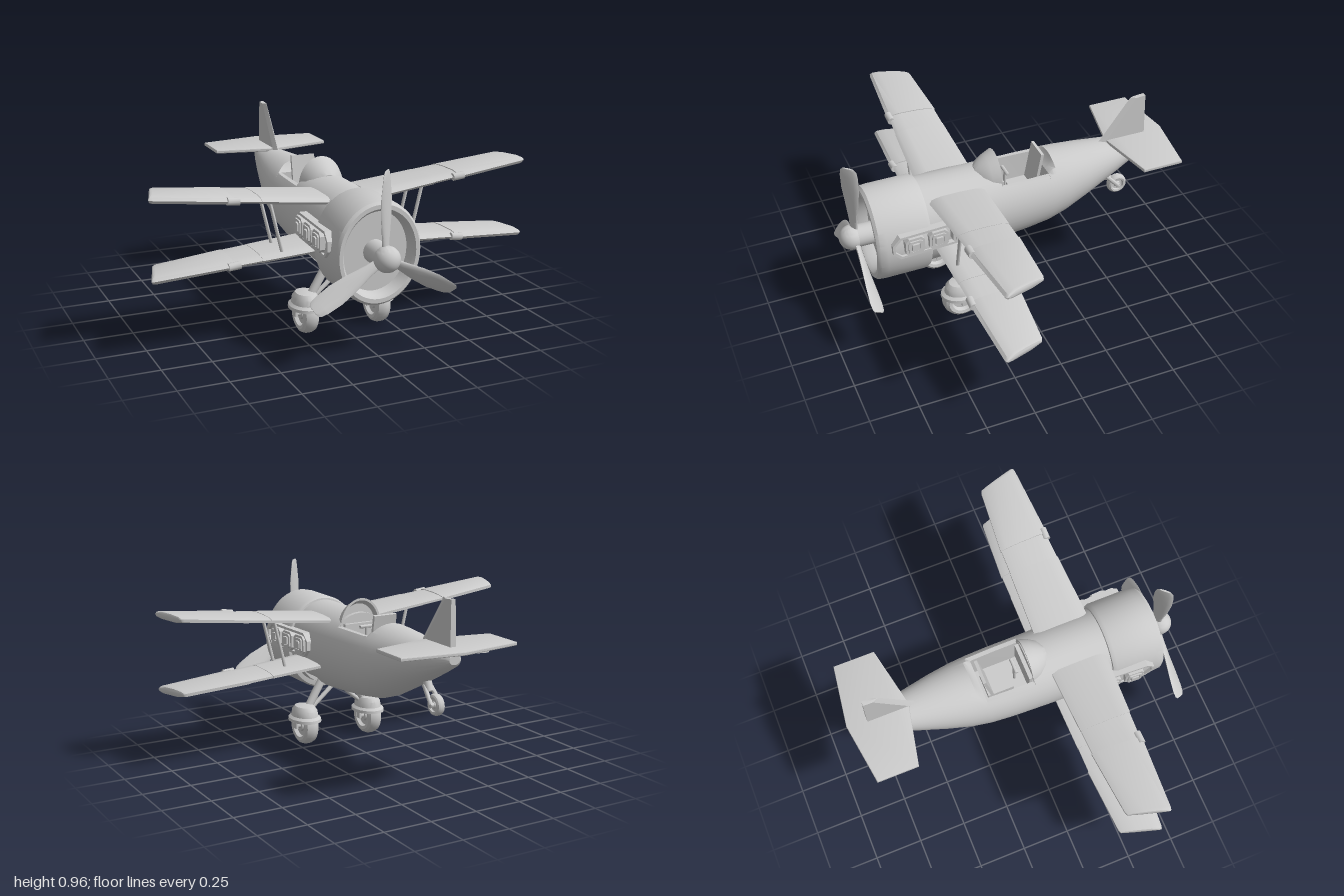
import * as THREE from 'three';
import { toCreasedNormals } from 'three/addons/utils/BufferGeometryUtils.js';

const V = (x, y, z) => new THREE.Vector3(x, y, z);
const P = (list) => list.map(([a, b]) => new THREE.Vector2(a, b));

// Turns a closed surface outward and gives it smooth normals with sharp creases
function finish(geo, crease) {
  const g = geo.index ? geo.toNonIndexed() : geo.clone();
  g.deleteAttribute('uv');
  const p = g.attributes.position, a = V(), b = V(), c = V();
  let volume = 0;
  for (let i = 0; i < p.count; i += 3) {
    a.fromBufferAttribute(p, i); b.fromBufferAttribute(p, i + 1); c.fromBufferAttribute(p, i + 2);
    volume += a.dot(b.cross(c));
  }
  if (volume < 0) for (let i = 0; i < p.count; i += 3) {
    b.fromBufferAttribute(p, i + 1); c.fromBufferAttribute(p, i + 2);
    p.setXYZ(i + 1, c.x, c.y, c.z); p.setXYZ(i + 2, b.x, b.y, b.z);
  }
  return toCreasedNormals(g, crease);
}

// Skins a list of equal-length closed rings and caps both ends
function loft(rings) {
  const n = rings[0].length, pos = [], idx = [];
  rings.forEach((r) => r.forEach((v) => pos.push(v.x, v.y, v.z)));
  for (let k = 0; k < rings.length - 1; k++) for (let i = 0; i < n; i++) {
    const a = k * n + i, b = k * n + (i + 1) % n;
    idx.push(a, b, b + n, a, b + n, a + n);
  }
  [0, rings.length - 1].forEach((k) => {
    const c = rings[k].reduce((s, v) => s.add(v), V(0, 0, 0)).divideScalar(n), m = pos.length / 3;
    pos.push(c.x, c.y, c.z);
    for (let i = 0; i < n; i++) {
      const a = k * n + i, b = k * n + (i + 1) % n;
      k ? idx.push(m, a, b) : idx.push(m, b, a);
    }
  });
  const g = new THREE.BufferGeometry();
  g.setAttribute('position', new THREE.Float32BufferAttribute(pos, 3));
  return g.setIndex(idx);
}

function rod(a, b, r, r2 = r, sides = 12) {
  const d = b.clone().sub(a);
  const g = new THREE.CylinderGeometry(r2, r, d.length(), sides);
  g.applyQuaternion(new THREE.Quaternion().setFromUnitVectors(V(0, 1, 0), d.normalize()));
  const m = a.clone().add(b).multiplyScalar(0.5);
  return g.translate(m.x, m.y, m.z);
}

const box = (w, h, d, x, y, z) => new THREE.BoxGeometry(w, h, d).translate(x, y, z);

// Fuselage stations: z, half width, top, bottom
const stations = [[0.47, 0.2, 0.75, 0.29], [0.27, 0.197, 0.75, 0.3], [0.1, 0.193, 0.75, 0.312], [-0.1, 0.19, 0.75, 0.335],
  [-0.2, 0.184, 0.75, 0.352], [-0.3, 0.172, 0.747, 0.387], [-0.42, 0.148, 0.74, 0.445], [-0.59, 0.105, 0.727, 0.53],
  [-0.72, 0.068, 0.716, 0.598], [-0.79, 0.045, 0.711, 0.637], [-0.805, 0.03, 0.7, 0.655]];

function fuselageRing(z, clampTop = 1, pit = false, clampBottom = 0) {
  let k = 0;
  while (k < stations.length - 2 && stations[k + 1][0] > z) k++;
  const A = stations[k], B = stations[k + 1], t = (z - A[0]) / (B[0] - A[0]);
  const [w, top, bot] = [1, 2, 3].map((j) => A[j] + (B[j] - A[j]) * t);
  return Array.from({ length: 40 }, (_, i) => {
    const s = i > 20 ? i - 40 : i, a = s * Math.PI / 20;
    if (pit && Math.abs(s) <= 3) return V(s / 3 * 0.105, 0.52, z);
    const y = (top + bot) / 2 + (top - bot) / 2 * Math.cos(a);
    return V(w * Math.sin(a), Math.max(clampBottom, Math.min(y, clampTop)), z);
  });
}

// Wing cross-section: x0 at the trailing edge, x1 at the leading edge
const aerofoil = [[0, 0.15], [0.12, 0.38], [0.4, 0.5], [0.75, 0.5], [0.94, 0.32], [1, 0], [0.96, -0.34], [0.8, -0.5], [0.3, -0.5], [0, -0.2]];
const wingRing = (x0, x1, zBack, zFront, thick, height) => aerofoil.map(([t, h]) => {
  const x = x0 + (x1 - x0) * t;
  return V(x, height(x) + h * thick, zBack + (zFront - zBack) * t);
});

export function createModel() {
  const model = new THREE.Group();
  model.name = 'biplane';
  const material = new THREE.MeshStandardMaterial({ color: 0xcccccc });
  const add = (name, geo, crease = 0.6) => {
    const mesh = new THREE.Mesh(finish(geo, crease), material);
    mesh.name = name;
    model.add(mesh);
  };
  const addPair = (name, geo, crease) => {
    add(name + 'Left', geo, crease);
    add(name + 'Right', geo.clone().scale(-1, 1, 1), crease);
  };

  // Fuselage with landing gear notch and open cockpit
  add('fuselage', loft([
    fuselageRing(0.47), fuselageRing(0.4), fuselageRing(0.4, 1, false, 0.37), fuselageRing(0.275, 1, false, 0.37),
    fuselageRing(0.275), fuselageRing(0.15), fuselageRing(0.06), fuselageRing(0.06, 0.69, true),
    fuselageRing(-0.08, 0.69, true), fuselageRing(-0.2, 0.69, true), fuselageRing(-0.2, 0.692), fuselageRing(-0.222, 0.71),
    fuselageRing(-0.24, 0.75), ...stations.slice(5).map((s) => fuselageRing(s[0]))]));

  // Engine cowl with recessed front plate
  const cowl = P([[0, 0.69], [0.17, 0.69], [0.178, 0.735], [0.19, 0.752], [0.208, 0.752], [0.219, 0.738], [0.222, 0.7],
    [0.222, 0.49], [0.214, 0.47], [0.19, 0.465], [0, 0.465]]);
  add('engineCowl', new THREE.LatheGeometry(cowl, 48).rotateX(Math.PI / 2).scale(1, 1.16, 1).translate(0, 0.511, 0));

  // Engine side openings with three cylinder heads each
  const octagon = (w, h, c) => P([[-w, -h + c], [-w + c, -h], [w - c, -h], [w, -h + c], [w, h - c], [w - c, h], [-w + c, h], [-w, h - c]]);
  const sidePlate = (w, h, c, depth, hole) => {
    const shape = new THREE.Shape(octagon(w, h, c));
    if (hole) shape.holes.push(new THREE.Path(octagon(w - hole, h - hole, c * 0.85)));
    return new THREE.ExtrudeGeometry(shape, { depth, bevelEnabled: false, curveSegments: 1 }).rotateY(Math.PI / 2);
  };
  const tilt = (g, x, z) => g.rotateY(0.05).translate(x, 0.555, z);
  addPair('engineOpeningFrame', tilt(sidePlate(0.215, 0.065, 0.04, 0.04, 0.013), 0.187, 0.468));
  [0.57, 0.445, 0.32].forEach((z, i) => {
    const x = 0.19 + (z - 0.32) * 0.05;
    addPair('cylinderHead' + i, tilt(sidePlate(0.05, 0.05, 0.018, 0.042), x, z));
    addPair('cylinderRim' + i, tilt(sidePlate(0.037, 0.037, 0.01, 0.05, 0.012), x, z));
    addPair('cylinderCap' + i, tilt(sidePlate(0.02, 0.02, 0.004, 0.055), x, z));
  });

  // Propeller: shaft, spinner and three twisted blades
  add('propellerShaft', rod(V(0, 0.51, 0.68), V(0, 0.51, 0.82), 0.058, 0.058, 24));
  add('spinner', new THREE.SphereGeometry(0.064, 28, 18).translate(0, 0.51, 0.825));
  const blade = loft([[0.03, 0.045, 0.6], [0.1, 0.055, 0.5], [0.2, 0.088, 0.55], [0.29, 0.106, 0.65], [0.37, 0.1, 0.78], [0.405, 0.086, 0.82], [0.417, 0.06, 0.82]]
    .map(([r, chord, twist], k) => Array.from({ length: 12 }, (_, i) => {
      const a = i * Math.PI / 6, u = Math.cos(a) * chord / 2, v = Math.sin(a) * (0.012 - k * 0.0012);
      return V(u * Math.cos(twist) + v * Math.sin(twist), r, -u * Math.sin(twist) + v * Math.cos(twist));
    })));
  for (let i = 0; i < 3; i++) add('propellerBlade' + i, blade.clone().rotateZ(i * Math.PI * 2 / 3).translate(0, 0.51, 0.808));

  // Upper and lower wings, each an inner and a slightly thicker outer panel
  const wings = { upperWing: (x) => 0.7 + 0.106 * (x - 0.15), lowerWing: (x) => 0.468 - 0.078 * (x - 0.1) };
  for (const [name, h] of Object.entries(wings)) {
    addPair(name + 'Inner', loft([wingRing(0.11, 0.11, 0.155, 0.45, 0.038, h), wingRing(0.46, 0.46, 0.164, 0.43, 0.038, h),
      wingRing(0.46, 0.46, 0.166, 0.427, 0.034, h), wingRing(0.602, 0.602, 0.168, 0.419, 0.034, h)]));
    addPair(name + 'Outer', loft([wingRing(0.59, 0.6, 0.164, 0.428, 0.042, h), wingRing(0.925, 0.982, 0.19, 0.403, 0.045, h),
      wingRing(0.938, 0.996, 0.195, 0.399, 0.036, h), wingRing(0.942, 1, 0.2, 0.394, 0.02, h)]));
    addPair(name + 'Hinge', rod(V(0.57, h(0.57), 0.414), V(0.63, h(0.63), 0.414), 0.02));
  }
  [0.39, 0.25].forEach((z, i) => addPair('wingStrut' + i, rod(V(0.345, 0.45, z), V(0.41, 0.725, z), 0.009)));

  // Tail fin and tailplane
  const finRing = (y, zF, zB, w) => [V(0, y, zF), V(w, y - 0.004, zF - 0.03), V(w, y, zB), V(-w, y, zB), V(-w, y - 0.004, zF - 0.03)];
  add('tailFin', loft([finRing(0.7, -0.51, -0.79, 0.017), finRing(0.75, -0.55, -0.79, 0.016), finRing(0.962, -0.705, -0.785, 0.012)]), 0.4);
  const tail = new THREE.Shape(P([[0, -0.575], [0.317, -0.64], [0.317, -0.845], [0, -0.89], [-0.317, -0.845], [-0.317, -0.64]]));
  add('tailplane', new THREE.ExtrudeGeometry(tail, { depth: 0.01, bevelThickness: 0.005, bevelSize: 0.006, bevelSegments: 2 })
    .rotateX(Math.PI / 2).translate(0, 0.733, 0), 0.4);

  // Windscreen hood, hollow towards the pilot
  const arch = (z, w, top) => Array.from({ length: 21 }, (_, i) => V(w * Math.cos(i * Math.PI / 20), 0.68 + (top - 0.68) * Math.sin(i * Math.PI / 20), z));
  add('windscreen', loft([arch(0.165, 0.05, 0.755), arch(0.14, 0.085, 0.78), arch(0.1, 0.108, 0.805), arch(0.055, 0.12, 0.828),
    arch(0.055, 0.108, 0.816), arch(0.085, 0.1, 0.795)]));

  // Cockpit fittings
  add('instrumentPanel', box(0.2, 0.14, 0.02, 0, 0.63, 0.05));
  add('seatBase', box(0.13, 0.04, 0.14, 0, 0.56, -0.1));
  add('seatBack', new THREE.BoxGeometry(0.13, 0.23, 0.016).rotateX(-0.18).translate(0, 0.67, -0.165));
  add('controlStick', rod(V(0, 0.52, 0), V(0, 0.69, -0.005), 0.008));
  add('controlGrip', rod(V(-0.04, 0.69, -0.005), V(0.04, 0.69, -0.005), 0.009));

  // Wheels share one tyre and hub profile
  const tyre = P([[0, -0.3], [0.28, -0.3], [0.32, -0.2], [0.54, -0.2], [0.62, -0.37], [0.78, -0.4], [0.92, -0.31], [1, -0.12],
    [1, 0.12], [0.92, 0.31], [0.78, 0.4], [0.62, 0.37], [0.54, 0.2], [0.32, 0.2], [0.28, 0.3], [0, 0.3]]);
  const wheel = (r, x, y, z) => new THREE.LatheGeometry(tyre, 32).rotateZ(Math.PI / 2).scale(r, r, r).translate(x, y, z);

  // Main landing gear
  addPair('mainWheel', wheel(0.103, 0.198, 0.103, 0.322));
  const fender = P([[0, 0], [1, 0], [0.98, 0.18], [0.82, 0.32], [0.76, 0.68], [0.58, 0.93], [0.3, 1], [0, 1]]);
  addPair('wheelFender', new THREE.LatheGeometry(fender, 24).scale(0.084, 0.085, 0.11).translate(0.198, 0.132, 0.322));
  addPair('gearLeg', rod(V(0.175, 0.19, 0.33), V(0.06, 0.385, 0.33), 0.022));
  addPair('gearBrace', rod(V(0.15, 0.19, 0.33), V(0.01, 0.31, 0.33), 0.012));
  addPair('axle', rod(V(0.14, 0.105, 0.322), V(0.256, 0.105, 0.322), 0.016));
  [0.144, 0.252].forEach((x, i) => addPair('wheelFork' + i, box(0.012, 0.08, 0.034, x, 0.13, 0.322)));

  // Tail wheel
  add('tailWheel', wheel(0.054, 0, 0.428, -0.655));
  [-0.028, 0.028].forEach((x, i) => add('tailWheelFork' + i, rod(V(x, 0.428, -0.655), V(x * 0.6, 0.51, -0.575), 0.011)));
  add('tailWheelAxle', rod(V(-0.035, 0.428, -0.655), V(0.035, 0.428, -0.655), 0.013));
  add('tailWheelMount', rod(V(0, 0.48, -0.6), V(0, 0.56, -0.56), 0.022));
  return model;
}
